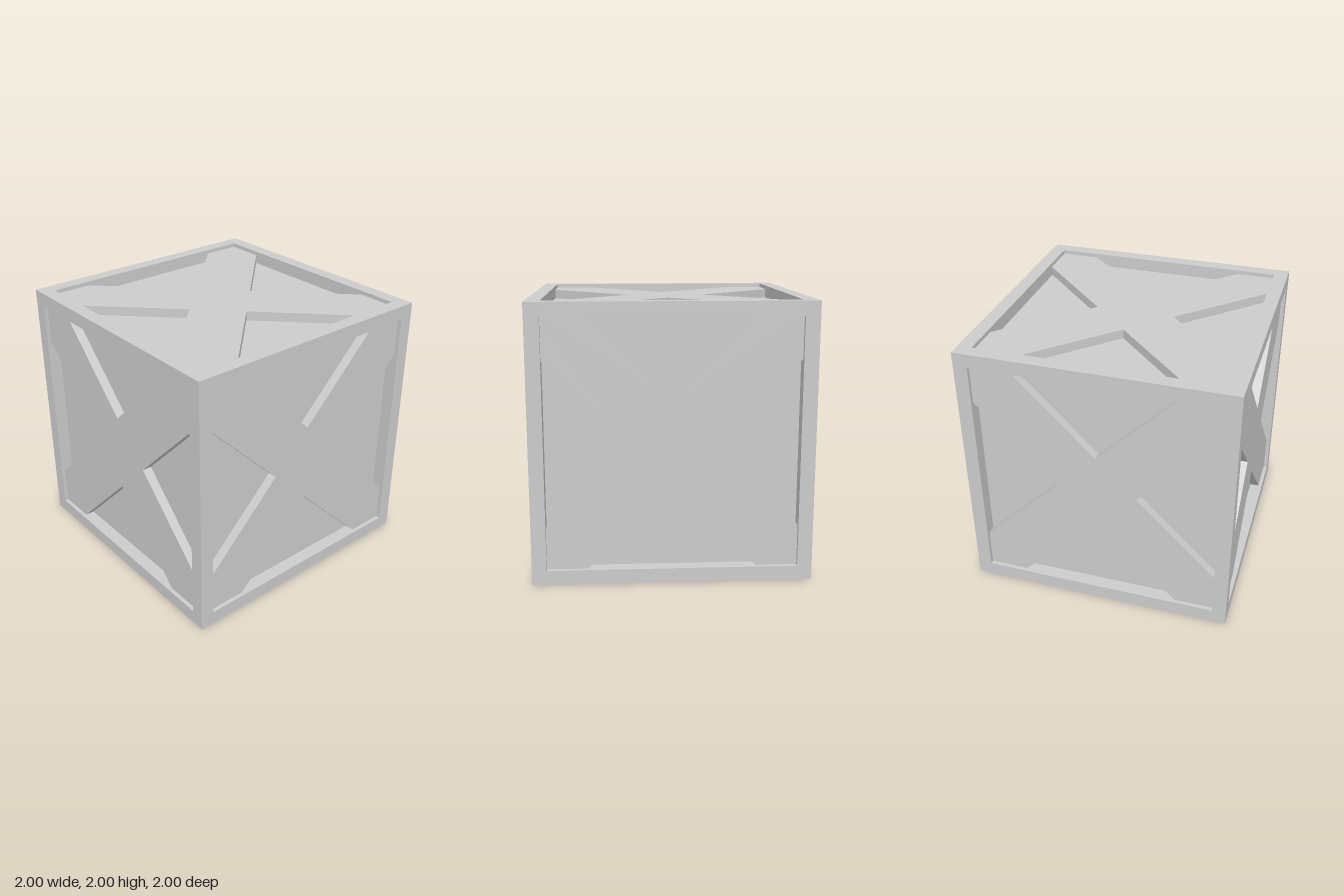
import * as THREE from 'three';

const HALF = 1;        // half of the crate's side
const INNER = 0.895;   // half of the opening inside the frame
const NOTCH = 0.295;   // where the brace edges meet on the axes
const PANEL = 0.9;     // distance of the panels from the centre
const BRACE = 0.97;    // distance of the brace faces from the centre

export function createModel() {
  const material = new THREE.MeshStandardMaterial({ color: 0xcccccc, flatShading: true });
  const model = new THREE.Group();
  model.name = 'crate';

  const add = (name, geometry, parent = model) => {
    const mesh = new THREE.Mesh(geometry, material);
    mesh.name = name;
    parent.add(mesh);
    return mesh;
  };

  // Inner box whose sides are the recessed panels
  add('panels', new THREE.BoxGeometry(2 * PANEL, 2 * PANEL, 2 * PANEL)).position.y = HALF;

  // Twelve square bars along the edges, butted at the corners
  const frame = new THREE.Group();
  frame.name = 'frame';
  model.add(frame);
  const bar = HALF - INNER, mid = (HALF + INNER) / 2;
  for (const a of [-mid, mid]) {
    for (const b of [-mid, mid]) {
      add('uprightBar', new THREE.BoxGeometry(bar, 2 * HALF, bar), frame).position.set(a, HALF, b);
      add('crossBar', new THREE.BoxGeometry(2 * INNER, bar, bar), frame).position.set(0, HALF + a, b);
      add('sideBar', new THREE.BoxGeometry(bar, bar, 2 * INNER), frame).position.set(a, HALF + b, 0);
    }
  }

  // X-shaped brace, one quarter of the outline turned four times
  const outline = [];
  for (let i = 0; i < 4; i++) {
    for (const [x, y] of [[NOTCH, 0], [INNER, INNER - NOTCH], [INNER, INNER], [INNER - NOTCH, INNER]]) {
      outline.push(new THREE.Vector2(x, y).rotateAround(new THREE.Vector2(), i * Math.PI / 2));
    }
  }
  const braceGeometry = new THREE.ExtrudeGeometry(new THREE.Shape(outline), {
    depth: BRACE - PANEL, bevelEnabled: false,
  });
  braceGeometry.translate(0, 0, PANEL);

  // One brace on each of the six sides
  const q = Math.PI / 2;
  const sides = {
    frontBrace: [0, 0], leftBrace: [0, q], backBrace: [0, 2 * q],
    rightBrace: [0, -q], topBrace: [-q, 0], bottomBrace: [q, 0],
  };
  for (const [name, [rx, ry]] of Object.entries(sides)) {
    const brace = add(name, braceGeometry);
    brace.rotation.set(rx, ry, 0);
    brace.position.y = HALF;
  }

  return model;
}
